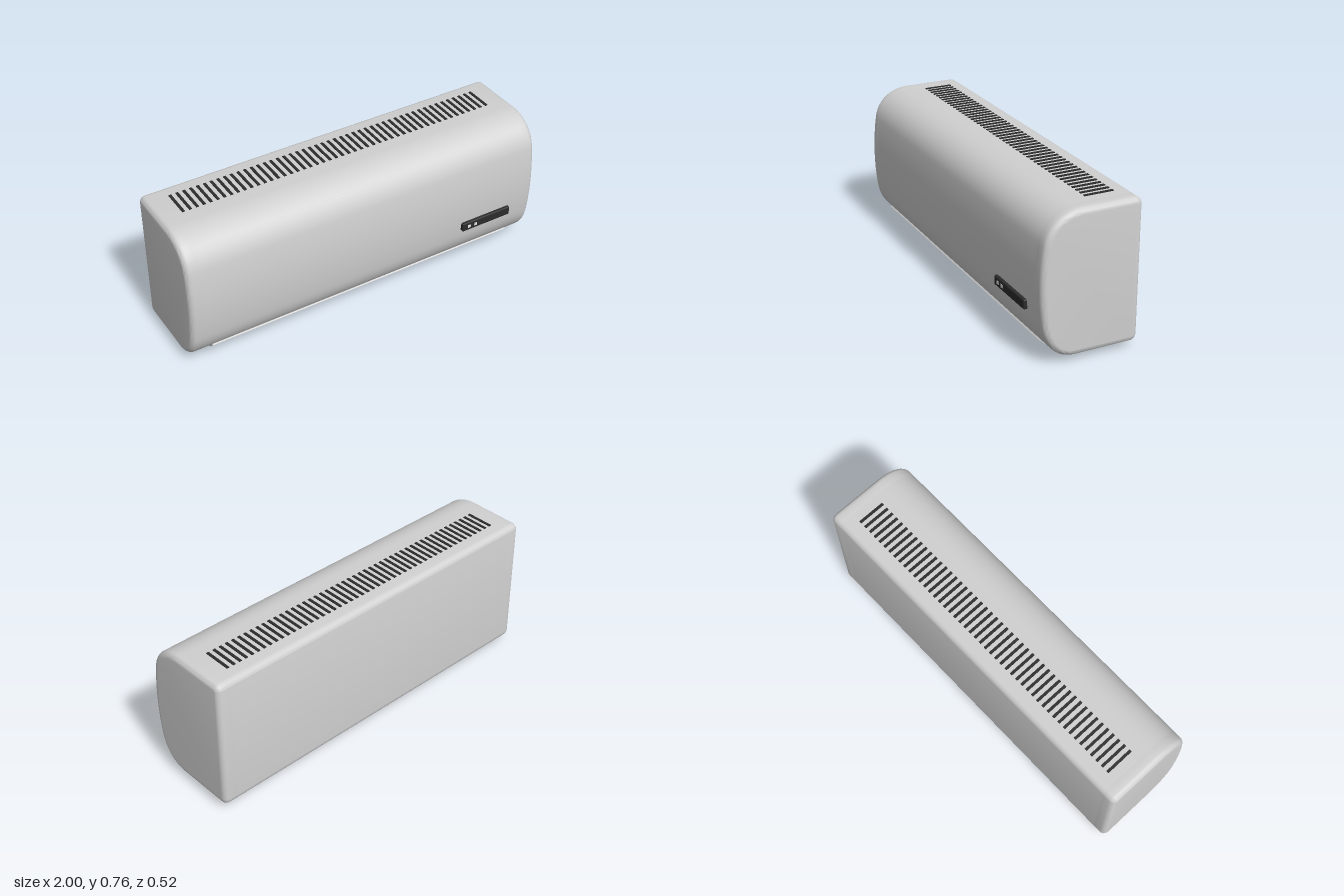
import * as THREE from 'three';
import { toCreasedNormals } from 'three/addons/utils/BufferGeometryUtils.js';
import { RoundedBoxGeometry } from 'three/addons/geometries/RoundedBoxGeometry.js';

const mat = (name, color) => {
  const m = new THREE.MeshStandardMaterial({ color });
  m.name = name;
  return m;
};

export function createModel() {
  const group = new THREE.Group();
  const shell = mat('casing grey', 0xd0d0d0);
  const dark = mat('dark grey', 0x2c2c2c);
  const light = mat('indicator white', 0xf0f0f0);

  const add = (name, geometry, material, x = 0, y = 0, z = 0) => {
    const mesh = new THREE.Mesh(geometry, material);
    mesh.name = name;
    mesh.position.set(x, y, z);
    group.add(mesh);
    return mesh;
  };

  // Side profile of the casing, drawn as (z, y)
  const bottom = 0.035, top = 0.757, back = -0.26, r = 0.036;
  const profile = new THREE.Shape();
  profile.moveTo(back + r, bottom);
  profile.lineTo(0.07, bottom);
  profile.bezierCurveTo(0.165, bottom, 0.222, 0.115, 0.235, 0.2);
  profile.bezierCurveTo(0.255, 0.33, 0.255, 0.47, 0.235, 0.6);
  profile.bezierCurveTo(0.222, 0.69, 0.15, top, 0.04, top);
  profile.lineTo(back + r, top);
  profile.absarc(back + r, top - r, r, Math.PI / 2, Math.PI, false);
  profile.lineTo(back, bottom + r);
  profile.absarc(back + r, bottom + r, r, Math.PI, Math.PI * 1.5, false);

  // Extrudes a (z, y) shape along x, centred on its own middle
  const extrudeX = (shape, width, bevel) => {
    const depth = width - 2 * bevel;
    const g = new THREE.ExtrudeGeometry(shape, {
      depth, curveSegments: 16, bevelEnabled: bevel > 0, bevelSegments: 6,
      bevelSize: bevel, bevelThickness: bevel, bevelOffset: -bevel,
    });
    g.translate(0, 0, -depth / 2);
    g.rotateY(-Math.PI / 2);
    return toCreasedNormals(g, 0.6);
  };

  // Middle of the casing, with the air outlet cut into the underside
  const outline = profile.getPoints(16);
  const kept = outline.slice(1).filter(p => !(p.y < 0.1 && p.x > -0.18 && p.x < 0.156));
  const notched = new THREE.Shape([
    new THREE.Vector2(back + r, bottom),
    new THREE.Vector2(-0.18, bottom),
    new THREE.Vector2(-0.18, 0.16),
    new THREE.Vector2(0.13, 0.16),
    new THREE.Vector2(0.15, 0.058),
    ...kept,
  ]);
  add('casing', extrudeX(notched, 1.86, 0), shell);

  // Rounded end caps, which also close the outlet
  for (const side of [-1, 1]) add('endCap', extrudeX(profile, 0.1, 0.03), shell, side * 0.95);

  // Flat plate running along x between two (z, y) points
  const plate = (name, z0, y0, z1, y1, width, thick) => {
    const dz = z1 - z0, dy = y1 - y0;
    const g = new THREE.BoxGeometry(width, thick, Math.hypot(dz, dy));
    add(name, g, shell, 0, (y0 + y1) / 2, (z0 + z1) / 2).rotation.x = -Math.atan2(dy, dz);
  };
  plate('flap', 0.03, 0.004, 0.19, 0.087, 1.76, 0.007);
  plate('outletLip', 0.151, 0.054, 0.199, 0.097, 1.76, 0.008);

  // Upright vanes in the outlet, joined by a rod
  for (let i = -6; i <= 6; i++) {
    add('vane', new THREE.BoxGeometry(0.012, 0.06, 0.22), shell, i * 0.138, 0.071, 0.01);
  }
  const rod = new THREE.CylinderGeometry(0.006, 0.006, 1.8, 10);
  rod.rotateZ(Math.PI / 2);
  add('vaneRod', rod, shell, 0, 0.085, 0.02);

  // Intake slots along the top
  for (let i = -24; i <= 24; i++) {
    add('intakeSlot', new THREE.BoxGeometry(0.014, 0.006, 0.15), dark, i * 0.0363, 0.758, -0.1);
  }

  // Display panel with two indicator lights
  add('displayPanel', new RoundedBoxGeometry(0.3, 0.05, 0.03, 3, 0.008), dark, 0.7, 0.268, 0.247);
  for (const x of [0.59, 0.63]) {
    add('indicatorLight', new THREE.BoxGeometry(0.017, 0.017, 0.003), light, x, 0.268, 0.262);
  }

  return group;
}
